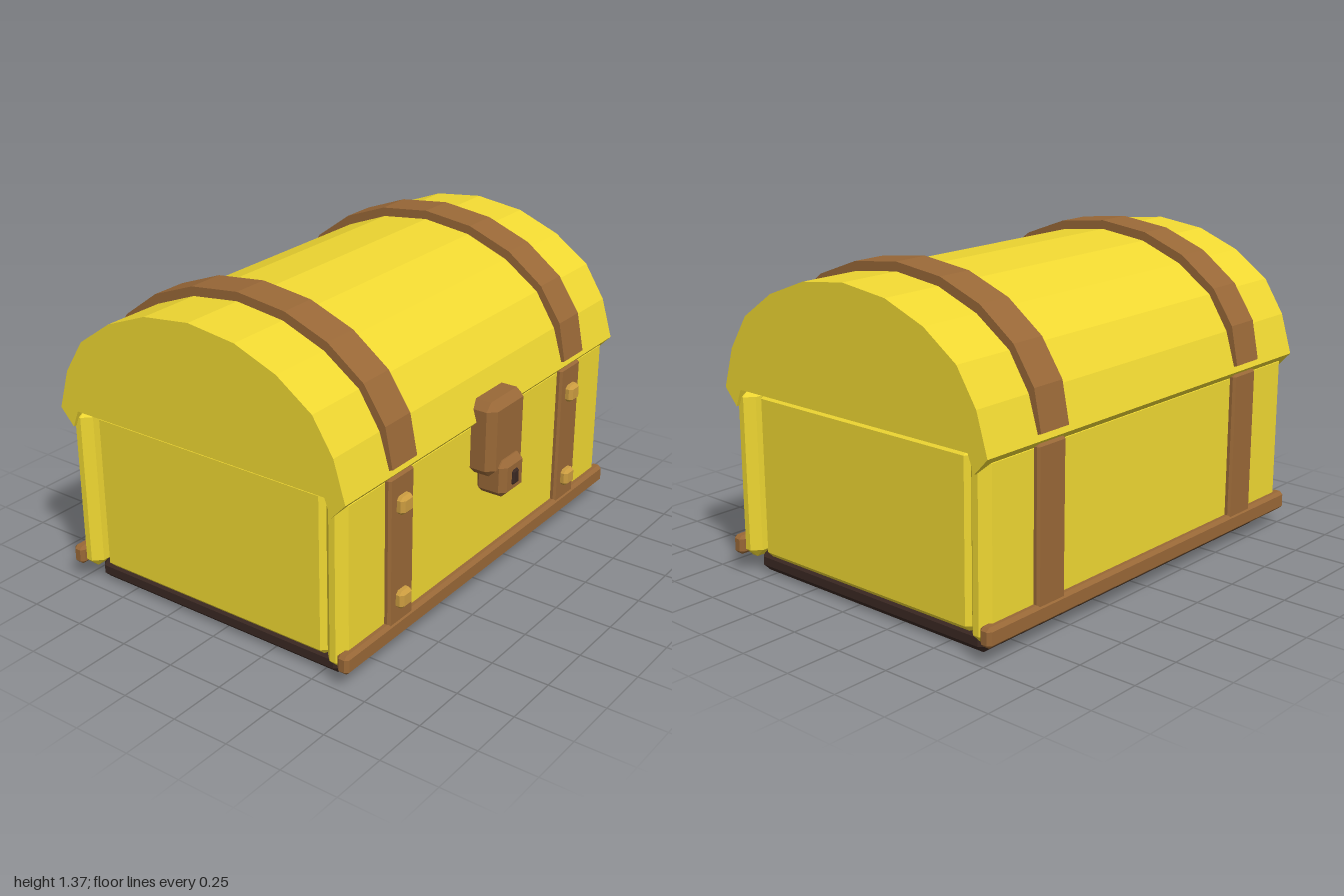
import * as THREE from 'three';
import { ConvexGeometry } from 'three/addons/geometries/ConvexGeometry.js';

const MID = -0.055; // z of the chest's centre line
const mat = (color) => new THREE.MeshStandardMaterial({ color, flatShading: true });

// Box between two corners with all edges chamfered by c
function chamferBox([x0, y0, z0], [x1, y1, z1], c) {
  const h = [(x1 - x0) / 2, (y1 - y0) / 2, (z1 - z0) / 2];
  const pts = [];
  for (const sx of [-1, 1]) for (const sy of [-1, 1]) for (const sz of [-1, 1]) {
    for (let full = 0; full < 3; full++) {
      const [x, y, z] = h.map((v, i) => (i === full ? v : v - c));
      pts.push(new THREE.Vector3(sx * x, sy * y, sz * z));
    }
  }
  return new ConvexGeometry(pts).translate((x0 + x1) / 2, (y0 + y1) / 2, (z0 + z1) / 2);
}

// Profile of [z, y] points extruded along x from x0 to x1
function extrudeX(points, x0, x1) {
  const shape = new THREE.Shape(points.map(([z, y]) => new THREE.Vector2(z, y)));
  const geo = new THREE.ExtrudeGeometry(shape, { depth: x1 - x0, bevelEnabled: false });
  return geo.rotateY(-Math.PI / 2).translate(x1, 0, 0);
}

// Half profile (offset from centre line, y) completed by its mirror image
function symmetric(half) {
  const back = half.filter(([d]) => d > 0).reverse().map(([d, y]) => [MID - d, y]);
  return [...half.map(([d, y]) => [MID + d, y]), ...back];
}

export function createModel() {
  const chest = new THREE.Group();
  chest.name = 'treasureChest';
  const yellow = mat(0xf0d832);
  const brown = mat(0x996837);
  const dark = mat(0x3a2822);
  const gold = mat(0xcc9d40);

  const add = (name, geo, material) => {
    const mesh = new THREE.Mesh(geo, material);
    mesh.name = name;
    chest.add(mesh);
  };
  const box = (name, lo, hi, c, material) => add(name, chamferBox(lo, hi, c), material);
  // Same box on the front and on the back
  const frontAndBack = (name, lo, hi, c, material) => {
    box(name + 'Front', lo, hi, c, material);
    box(name + 'Back', [lo[0], lo[1], 2 * MID - hi[2]], [hi[0], hi[1], 2 * MID - lo[2]], c, material);
  };

  // Base and body panels
  box('base', [-0.935, 0, -0.695], [0.935, 0.1, 0.585], 0.032, dark);
  frontAndBack('panel', [-0.985, 0.068, 0.54], [0.985, 0.805, 0.64], 0.036, yellow);
  for (const s of [-1, 1]) {
    const xs = [s * 0.95, s * 0.85].sort((a, b) => a - b);
    box(s > 0 ? 'leftPanel' : 'rightPanel', [xs[0], 0.068, -0.65], [xs[1], 0.805, 0.54], 0.036, yellow);
  }

  // Faceted lid with a hooked lip along the front and back
  const arch = [[0.72, 0.8], [0.668, 0.972], [0.575, 1.118], [0.415, 1.23], [0.222, 1.305], [0, 1.332]];
  add('lid', extrudeX(symmetric([[0.625, 0.805], [0.655, 0.73], ...arch]), -1, 1), yellow);

  // Bottom trim, body straps, rivets and lid bands
  frontAndBack('bottomTrim', [-1, 0.075, 0.615], [1, 0.157, 0.67], 0.014, brown);
  const outer = [[0.728, 0.83], [0.694, 0.997], [0.595, 1.145], [0.43, 1.267], [0.23, 1.343], [0, 1.37]];
  const inner = [[0.685, 0.815], [0.645, 0.965], [0.555, 1.1], [0.4, 1.21], [0.215, 1.285], [0, 1.31]];
  const bandProfile = [...symmetric(outer), ...symmetric(inner).reverse()];
  for (const x of [-0.64, 0.64]) {
    frontAndBack('strap', [x - 0.08, 0.12, 0.615], [x + 0.08, 0.787, 0.664], 0.01, brown);
    add('lidBand', extrudeX(bandProfile, x - 0.08, x + 0.08), brown);
    for (const y of [0.25, 0.66]) {
      box('rivet', [x - 0.038, y - 0.038, 0.645], [x + 0.038, y + 0.038, 0.695], 0.014, gold);
    }
  }

  // Latch plate, lock and keyhole
  box('latch', [-0.13, 0.56, 0.6], [0.13, 0.887, 0.743], 0.033, brown);
  box('lock', [-0.083, 0.463, 0.63], [0.083, 0.625, 0.775], 0.026, brown);
  box('keyhole', [-0.022, 0.508, 0.74], [0.022, 0.575, 0.785], 0.008, dark);

  return chest;
}
